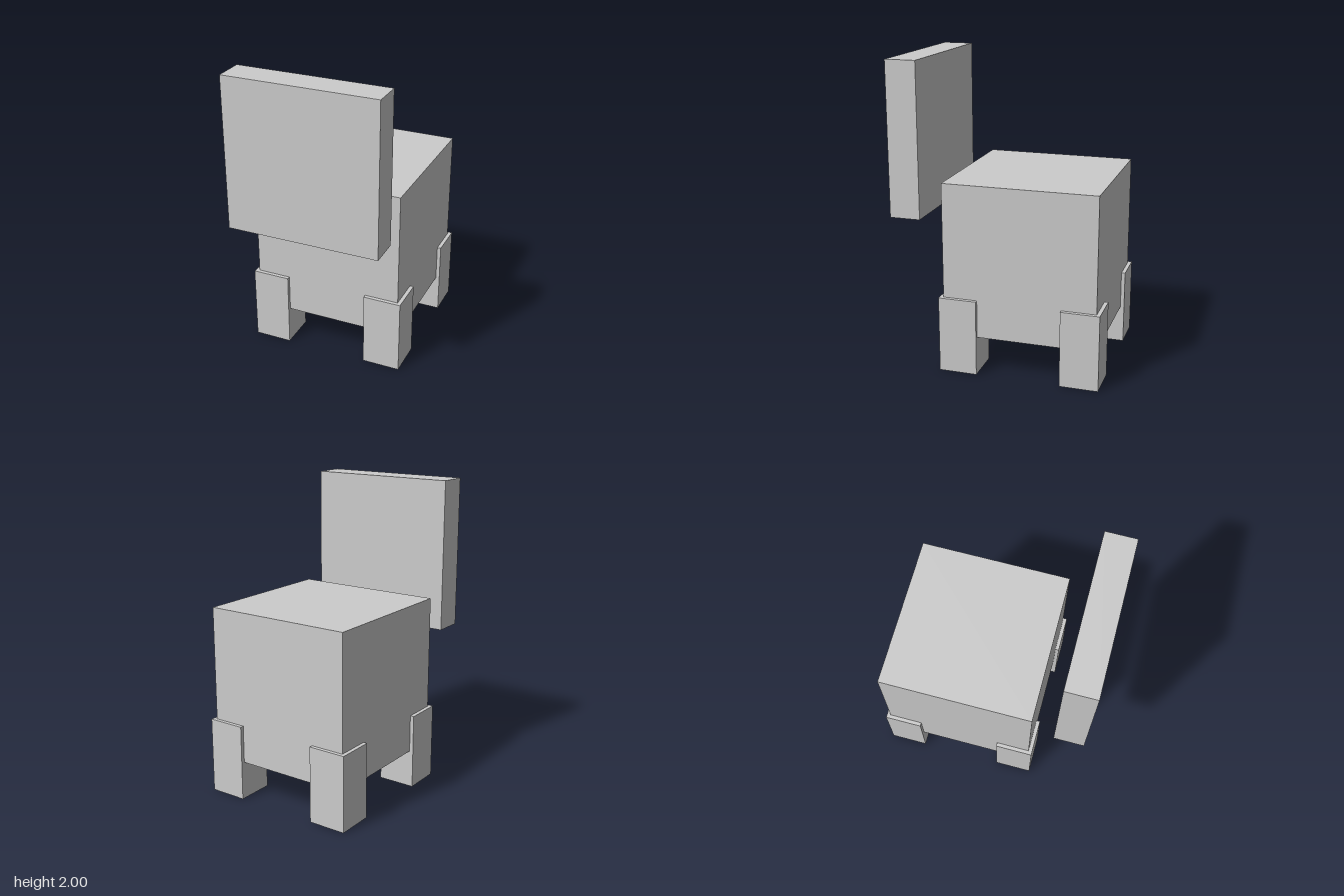
import * as THREE from 'three';

export function createModel() {
  const model = new THREE.Group();
  const material = new THREE.MeshStandardMaterial({ color: 0xcccccc, flatShading: true });

  function addBox(name, [w, h, d], [x, y, z]) {
    const mesh = new THREE.Mesh(new THREE.BoxGeometry(w, h, d), material);
    mesh.name = name;
    mesh.position.set(x, y, z);
    model.add(mesh);
  }

  const bodyZ = -0.1625;

  // Cubic body, and the upright slab floating in front of it
  addBox('body', [1, 1, 1], [0, 0.75, bodyZ]);
  addBox('frontPanel', [1, 1, 0.2], [0, 1.5, 0.5875]);

  // Four legs, standing slightly proud of the body's corners
  for (const [side, sx] of [['Left', 1], ['Right', -1]]) {
    for (const [end, sz] of [['front', 1], ['back', -1]]) {
      addBox(`${end}${side}Leg`, [0.25, 0.5, 0.25], [sx * 0.4, 0.25, bodyZ + sz * 0.4]);
    }
  }

  return model;
}
